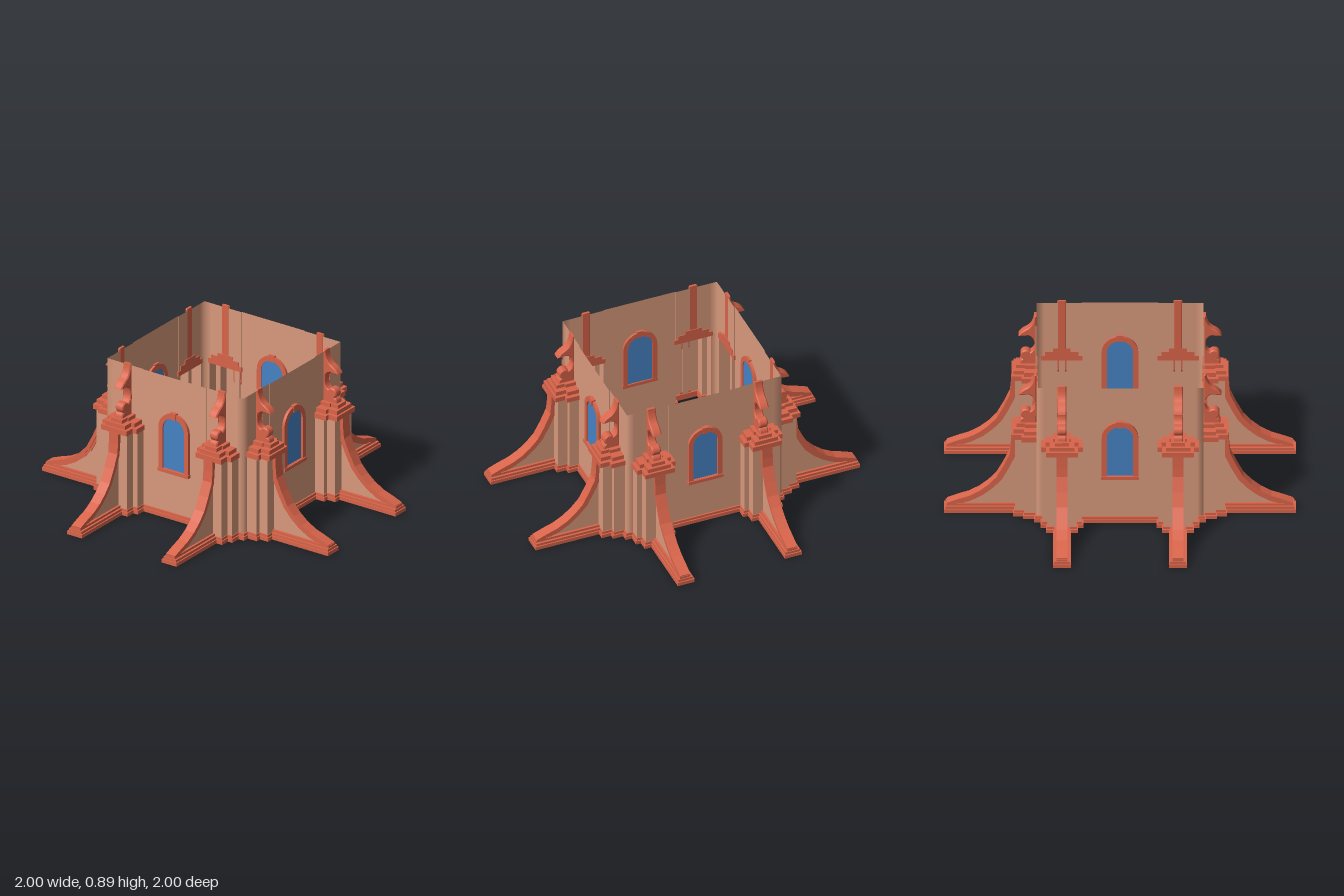
import * as THREE from 'three';

const material = (color) => new THREE.MeshStandardMaterial({ color, side: THREE.DoubleSide });
const stucco = material(0xd99a7c), trim = material(0xd9644a), glass = material(0x4583c4);

function add(parent, name, geometry, mat) {
  const mesh = new THREE.Mesh(geometry, mat);
  mesh.name = name;
  parent.add(mesh);
  return mesh;
}

// Mirror half a side (x > 0, facing +z) and turn it four times into a closed outline
function outline(half) {
  const side = [...half.map(([x, z]) => [-x, z]).reverse(), ...half.slice(0, -1)];
  const points = [];
  let turned = side;
  for (let i = 0; i < 4; i++) {
    points.push(...turned);
    turned = turned.map(([x, z]) => [z, -x]);
  }
  return points;
}

// Thin upright wall along a closed outline, shaded softly at the four corners
function wall(points, y0, y1) {
  const pos = [], nor = [];
  points.forEach((a, i) => {
    const b = points[(i + 1) % points.length];
    const len = Math.hypot(b[0] - a[0], b[1] - a[1]);
    const flat = [-(b[1] - a[1]) / len, 0, (b[0] - a[0]) / len];
    for (const [p, y] of [[a, y0], [b, y0], [b, y1], [a, y0], [b, y1], [a, y1]]) {
      pos.push(p[0], y, p[1]);
      const corner = Math.abs(Math.abs(p[0]) - Math.abs(p[1])) < 1e-4;
      nor.push(...(corner ? [Math.sign(p[0]) * Math.SQRT1_2, 0, Math.sign(p[1]) * Math.SQRT1_2] : flat));
    }
  });
  const g = new THREE.BufferGeometry();
  g.setAttribute('position', new THREE.Float32BufferAttribute(pos, 3));
  g.setAttribute('normal', new THREE.Float32BufferAttribute(nor, 3));
  return g;
}

const toShape = (points) => new THREE.Shape(points.map(([x, y]) => new THREE.Vector2(x, y)));

// Extrude a (distance out, height) profile evenly about x = 0
function sideProfile(shape, width, bevel = 0) {
  const depth = width - 2 * bevel;
  const g = new THREE.ExtrudeGeometry(shape, {
    depth, curveSegments: 8, bevelEnabled: bevel > 0,
    bevelSize: bevel, bevelThickness: bevel, bevelOffset: -bevel, bevelSegments: 1,
  });
  return g.translate(0, 0, -depth / 2).rotateY(-Math.PI / 2);
}

// Sweeping upper edge of a buttress: distance out, height
const sweep = [[0.617, 0.51], [0.62, 0.44], [0.626, 0.38], [0.662, 0.3], [0.702, 0.225],
  [0.748, 0.175], [0.8, 0.133], [0.86, 0.1], [0.92, 0.08], [0.985, 0.055]];

function inset(d) {
  return sweep.map(([x, y], i) => {
    const a = sweep[Math.max(i - 1, 0)], b = sweep[Math.min(i + 1, sweep.length - 1)];
    const dx = b[0] - a[0], dy = b[1] - a[1], len = Math.hypot(dx, dy);
    return [Math.max(0.59, x + (dy / len) * d), Math.max(0.03, y - (dx / len) * d)];
  });
}

function makeButtress() {
  const g = new THREE.Group();
  const band = (from, to) => toShape([...inset(from), ...inset(to).reverse()]);
  add(g, 'buttressCoping', sideProfile(band(0, 0.022), 0.064), trim);
  add(g, 'buttressCopingLip', sideProfile(band(0.022, 0.036), 0.05), trim);
  add(g, 'buttressWeb', sideProfile(toShape([[0.59, 0.03], ...inset(0.03)]), 0.036), stucco);
  add(g, 'buttressFoot', new THREE.BoxGeometry(0.064, 0.025, 0.395), trim).position.set(0, 0.038, 0.79);

  // Stepped capital: each layer is a wide inner block and a narrower outer block
  const layers = [ // y0, y1, half width, inner reach, narrow half width, outer reach
    [0.505, 0.535, 0.118, 0.56, 0.09, 0.617],
    [0.535, 0.56, 0.095, 0.545, 0.07, 0.605],
    [0.56, 0.582, 0.05, 0.54, 0.04, 0.59],
  ];
  for (const [y0, y1, w, r, wn, rn] of layers) {
    for (const [hw, reach] of [[w, r], [wn, rn]]) {
      add(g, 'capital', new THREE.BoxGeometry(hw * 2, y1 - y0, reach - 0.47), trim)
        .position.set(0, (y0 + y1) / 2, (reach + 0.47) / 2);
    }
  }

  // Scrolled finial standing on the capital
  const s = new THREE.Shape();
  s.moveTo(0.474, 0.575);
  s.lineTo(0.572, 0.575);
  s.quadraticCurveTo(0.572, 0.605, 0.555, 0.612);
  s.absarc(0.535, 0.637, 0.031, -0.85, 2.5, false);
  s.quadraticCurveTo(0.49, 0.665, 0.484, 0.695);
  s.quadraticCurveTo(0.484, 0.755, 0.525, 0.765);
  s.quadraticCurveTo(0.552, 0.757, 0.578, 0.762);
  s.quadraticCurveTo(0.565, 0.79, 0.53, 0.808);
  s.quadraticCurveTo(0.492, 0.83, 0.488, 0.893);
  s.lineTo(0.474, 0.893);
  add(g, 'finial', sideProfile(s, 0.054, 0.006), trim);
  return g;
}

function archShape(w, bottom, spring) {
  const s = new THREE.Shape();
  s.moveTo(-w, bottom);
  s.lineTo(w, bottom);
  s.lineTo(w, spring);
  s.absarc(0, spring, w, 0, Math.PI, false);
  s.lineTo(-w, bottom);
  return s;
}

function makeWindow() {
  const g = new THREE.Group();
  const extrude = (shape, z0, z1) =>
    new THREE.ExtrudeGeometry(shape, { depth: z1 - z0, bevelEnabled: false, curveSegments: 12 }).translate(0, 0, z0);
  const frame = archShape(0.104, 0.29, 0.558);
  frame.holes.push(archShape(0.075, 0.308, 0.558));
  add(g, 'windowFrame', extrude(frame, 0.466, 0.497), trim);
  add(g, 'windowGlass', extrude(archShape(0.078, 0.3, 0.558), 0.472, 0.486), glass);
  add(g, 'windowSill', new THREE.BoxGeometry(0.214, 0.02, 0.038), trim).position.set(0, 0.297, 0.484);
  const key = toShape([[-0.015, 0.628], [0.015, 0.628], [0.021, 0.669], [-0.021, 0.669]]);
  add(g, 'windowKeystone', extrude(key, 0.466, 0.503), trim);
  return g;
}

export function createModel() {
  const model = new THREE.Group();
  model.name = 'towerBase';

  // Lower walls step out around hollow piers; upper walls run straight above them
  const lower = [[0.22, 0.48], [0.22, 0.54], [0.25, 0.54], [0.25, 0.597], [0.41, 0.597],
    [0.41, 0.54], [0.44, 0.54], [0.44, 0.475], [0.475, 0.475]];
  const upper = [[0.22, 0.48], [0.22, 0.475], [0.43, 0.475], [0.475, 0.475]];
  add(model, 'lowerWalls', wall(outline(lower), 0.02, 0.515), stucco);
  add(model, 'upperWalls', wall(outline(upper), 0.515, 0.88), stucco);

  // Plinth following the walls, piers and buttresses in two steps
  const plinth = (e, y0, y1) => {
    const shape = toShape(outline([[0.22 - e, 0.484 + e], [0.22 - e, 0.54 + e], [0.25 - e, 0.54 + e],
      [0.25 - e, 0.597 + e], [0.29 - e, 0.597 + e], [0.29 - e, 0.988 + e], [0.37 + e, 0.988 + e],
      [0.37 + e, 0.597 + e], [0.41 + e, 0.597 + e], [0.41 + e, 0.54 + e], [0.44 + e, 0.54 + e],
      [0.44 + e, 0.478 + e], [0.478 + e, 0.478 + e]]));
    const hole = outline([[0.23, 0.47], [0.23, 0.53], [0.26, 0.53], [0.26, 0.587], [0.4, 0.587],
      [0.4, 0.53], [0.43, 0.53], [0.43, 0.47], [0.47, 0.47]]);
    shape.holes.push(new THREE.Path(hole.map(([x, z]) => new THREE.Vector2(x, z))));
    const g = new THREE.ExtrudeGeometry(shape, { depth: y1 - y0, bevelEnabled: false });
    add(model, 'plinth', g.rotateX(-Math.PI / 2).translate(0, y0, 0), trim);
  };
  plinth(0.012, 0, 0.022);
  plinth(0.005, 0.022, 0.037);

  // Each side carries one arched window and two buttresses
  for (let i = 0; i < 4; i++) {
    const side = new THREE.Group();
    side.name = 'side';
    const win = makeWindow();
    win.name = 'window';
    side.add(win);
    for (const x of [-0.33, 0.33]) {
      const buttress = makeButtress();
      buttress.name = 'buttress';
      buttress.position.x = x;
      side.add(buttress);
    }
    side.rotation.y = (i * Math.PI) / 2;
    model.add(side);
  }
  return model;
}
